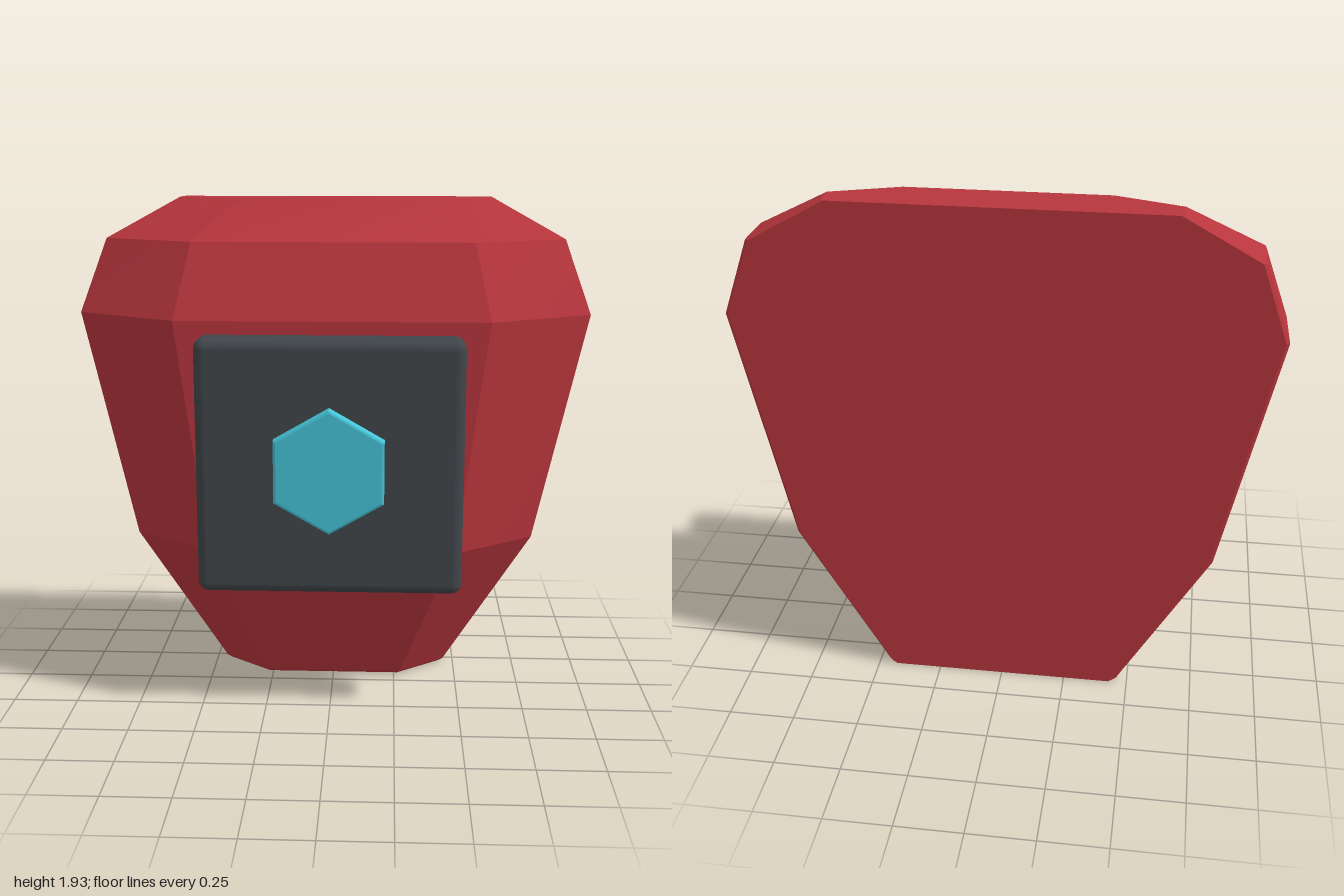
import * as THREE from 'three';
import { toCreasedNormals } from 'three/addons/utils/BufferGeometryUtils.js';
import { RoundedBoxGeometry } from 'three/addons/geometries/RoundedBoxGeometry.js';

const BACK = -0.365;
const BEVEL = 0.012;

// Half-octagon section: flat back, short sides, slanted front corners
function section(y, halfWidth, frontZ) {
  const sideZ = BACK + (frontZ - BACK) * 0.52;
  const half = [
    [halfWidth * 0.6, frontZ],
    [halfWidth, sideZ],
    [halfWidth, BACK + BEVEL],
    [halfWidth - BEVEL, BACK],
  ];
  const mirrored = half.map(([x, z]) => [-x, z]).reverse();
  return [...half, ...mirrored].map(([x, z]) => [x, y, z]);
}

// Joins the sections from bottom to top and closes both ends
function loft(rings) {
  const n = rings[0].length;
  const index = [];
  for (let r = 0; r < rings.length - 1; r++) {
    for (let i = 0; i < n; i++) {
      const a = r * n + i, b = r * n + (i + 1) % n;
      index.push(a, b, b + n, a, b + n, a + n);
    }
  }
  const top = (rings.length - 1) * n;
  for (let i = 1; i < n - 1; i++) {
    index.push(0, i + 1, i, top, top + i, top + i + 1);
  }
  const geometry = new THREE.BufferGeometry();
  geometry.setAttribute('position', new THREE.Float32BufferAttribute(rings.flat(2), 3));
  geometry.setIndex(index);
  return toCreasedNormals(geometry, 0.3);
}

export function createModel() {
  const red = new THREE.MeshStandardMaterial({ color: 0xb8363d });
  red.name = 'red armour';
  const charcoal = new THREE.MeshStandardMaterial({ color: 0x41464b });
  charcoal.name = 'charcoal';
  const cyan = new THREE.MeshStandardMaterial({ color: 0x45c3d8 });
  cyan.name = 'cyan';

  const model = new THREE.Group();
  model.name = 'chestArmour';
  const add = (name, geometry, material, y = 0, z = 0) => {
    const mesh = new THREE.Mesh(geometry, material);
    mesh.name = name;
    mesh.position.set(0, y, z);
    model.add(mesh);
  };

  // Faceted shell: height, half width, front depth
  const profile = [
    [0, 0.44, -0.08],
    [0.012, 0.457, -0.067],
    [0.59, 0.8, 0.127],
    [1.495, 1.0, 0.127],
    [1.78, 0.9, 0.005],
    [1.935, 0.62, -0.17],
  ];
  add('shell', loft(profile.map((p) => section(...p))), red);

  // Floating square plate
  add('chestPlate', new RoundedBoxGeometry(1.0, 0.97, 0.16, 3, 0.04), charcoal, 0.97, 0.24);

  // Hexagonal core with a small bevelled rim
  const bevel = 0.01;
  const hexagon = new THREE.Shape(Array.from({ length: 6 }, (_, i) => {
    const angle = Math.PI / 2 + i * Math.PI / 3;
    return new THREE.Vector2(Math.cos(angle), Math.sin(angle)).multiplyScalar(0.225);
  }));
  const core = new THREE.ExtrudeGeometry(hexagon, {
    depth: 0.045, bevelEnabled: true, bevelSize: bevel, bevelThickness: bevel, bevelSegments: 2,
  });
  add('hexCore', core, cyan, 0.97, 0.31);

  return model;
}
